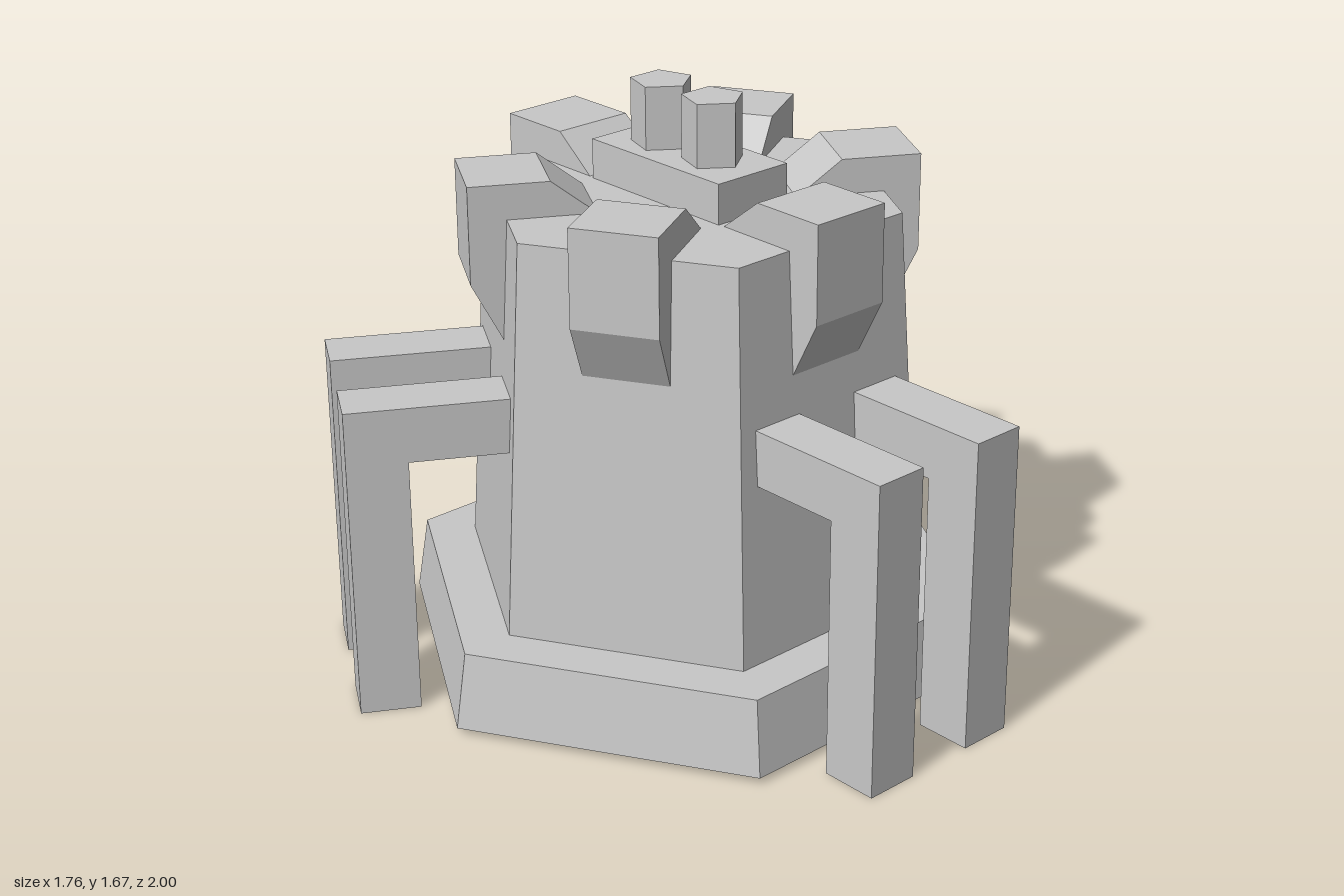
import * as THREE from 'three';

export function createModel() {
  const model = new THREE.Group();
  const grey = new THREE.MeshStandardMaterial({ color: 0xc8c8c8, flatShading: true });
  grey.name = 'stoneGrey';
  // the hollow hexagonal shell is open underneath
  const shellGrey = grey;
  shellGrey.side = THREE.DoubleSide;

  const body = new THREE.Group();
  body.name = 'tower';
  body.position.x = -0.127;
  model.add(body);

  function add(parent, name, geometry, x = 0, y = 0, z = 0) {
    const mesh = new THREE.Mesh(geometry, grey);
    mesh.name = name;
    mesh.position.set(x, y, z);
    parent.add(mesh);
    return mesh;
  }

  // side profile in (radius, height), extruded to a width centred on z = 0
  function slab(points, width) {
    const shape = new THREE.Shape(points.map(([r, y]) => new THREE.Vector2(r, y)));
    return new THREE.ExtrudeGeometry(shape, { depth: width, bevelEnabled: false })
      .translate(0, 0, -width / 2);
  }

  // hollow base, ledge, walls and roof as one six-sided turned shell
  const profile = [[0.87, 0.02], [0.833, 0.24], [0.678, 0.24], [0.605, 1.38], [0, 1.38]]
    .map(([r, y]) => new THREE.Vector2(r, y));
  add(body, 'hexagonalShell', new THREE.LatheGeometry(profile, 6));

  // six battlements hooked over the rim
  const merlon = slab([[0.628, 1.48], [0.403, 1.48], [0.273, 1.378],
    [0.522, 1.378], [0.541, 1.03], [0.628, 1.2]], 0.245);
  for (let i = 0; i < 6; i++) {
    add(body, 'battlement', merlon).rotation.y = i * Math.PI / 3;
  }

  // three pairs of bent legs
  const leg = slab([[0.55, 0.76], [0.832, 0.76], [0.832, 0], [1.002, 0],
    [1.002, 0.92], [0.55, 0.92]], 0.16);
  for (let i = 0; i < 3; i++) {
    const pair = new THREE.Group();
    pair.name = 'legPair';
    pair.rotation.y = i * Math.PI * 2 / 3;
    for (const side of [-1, 1]) add(pair, 'leg', leg, 0, 0, side * 0.184);
    body.add(pair);
  }

  // roof plinth with two five-sided chimneys
  add(body, 'roofPlinth', new THREE.BoxGeometry(0.516, 0.119, 0.252), 0, 1.4355, 0);
  const chimney = new THREE.CylinderGeometry(0.088, 0.088, 0.185, 5).rotateY(Math.PI / 2);
  for (const x of [-0.108, 0.1]) add(body, 'chimney', chimney, x, 1.5825, 0);

  return model;
}
